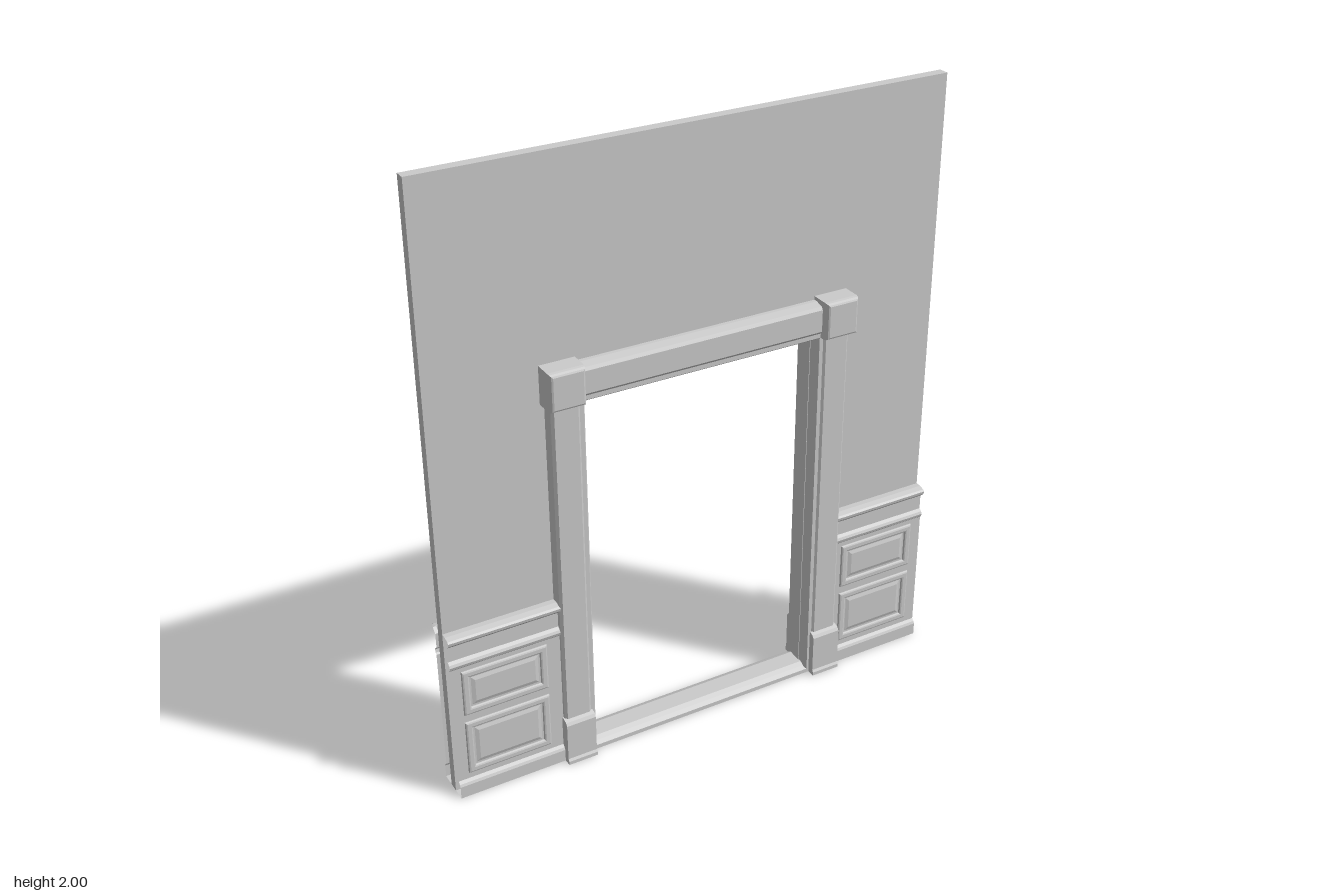
import * as THREE from 'three';

const mat = new THREE.MeshStandardMaterial({ color: 0xcccccc, flatShading: true });
const sheetMat = new THREE.MeshStandardMaterial({ color: 0xcccccc, flatShading: true, side: THREE.DoubleSide });
const CX = 0.009;      // centre of the doorway
const HALF = 0.855;    // half width of the wall
const WALL_Z = 0.017;  // half thickness of the wall

function add(parent, name, geometry, material = mat) {
  const mesh = new THREE.Mesh(geometry, material);
  mesh.name = name;
  parent.add(mesh);
  return mesh;
}

function box(parent, name, x0, x1, y0, y1, z0, z1) {
  const mesh = add(parent, name, new THREE.BoxGeometry(x1 - x0, y1 - y0, z1 - z0));
  mesh.position.set((x0 + x1) / 2, (y0 + y1) / 2, (z0 + z1) / 2);
  return mesh;
}

const shapeOf = (pts) => new THREE.Shape(pts.map(([a, b]) => new THREE.Vector2(a, b)));
const rect = (w, h) => [[-w / 2, -h / 2], [w / 2, -h / 2], [w / 2, h / 2], [-w / 2, h / 2]];

// Solid with a constant (z, y) section, running along x
function prismX(parent, name, pts, x0, x1) {
  const g = new THREE.ExtrudeGeometry(shapeOf(pts), { depth: x1 - x0, bevelEnabled: false });
  g.rotateY(-Math.PI / 2).translate(x1, 0, 0);
  return add(parent, name, g);
}

// Section mirrored to both faces
const bothFaces = (pts) => [...pts, ...pts.slice().reverse().map(([z, y]) => [-z, y])];

// Wainscot section: skirting, field, lower rail, frieze, chair rail
const wainscot = [
  [WALL_Z, 0], [0.06, 0], [0.06, 0.042], [0.056, 0.05], [0.048, 0.058],
  [0.048, 0.475], [0.053, 0.48], [0.056, 0.49], [0.052, 0.498], [0.042, 0.505],
  [0.042, 0.555], [0.05, 0.562], [0.058, 0.57], [0.06, 0.58], [0.054, 0.585],
  [0.036, 0.59], [WALL_Z, 0.59],
];

// Moulded skin over the wall, left open at the -x end
function wainscotSkin(parent, x0, x1) {
  const n = wainscot.length;
  const g = new THREE.PlaneGeometry(1, 1, 1, n - 1);
  for (let i = 0; i < n; i++) {
    const [z, y] = wainscot[n - 1 - i];
    g.attributes.position.setXYZ(i * 2, x0, y, z);
    g.attributes.position.setXYZ(i * 2 + 1, x1, y, z);
  }
  const flat = g.toNonIndexed();
  flat.computeVertexNormals();
  add(parent, 'wainscotSkin', flat, sheetMat);
  const cap = new THREE.ShapeGeometry(shapeOf(wainscot));
  cap.rotateY(-Math.PI / 2).translate(x1, 0, 0);
  add(parent, 'wainscotEnd', cap, sheetMat);
}

// Picture-frame moulding with a flat field inside
function panel(parent, x, y0, y1) {
  const w = 0.28, h = y1 - y0, t = 0.024, b = 0.006;
  const ring = shapeOf(rect(w - 2 * b, h - 2 * b));
  ring.holes.push(new THREE.Path(rect(w - 2 * t + 2 * b, h - 2 * t + 2 * b).reverse()
    .map(([a, c]) => new THREE.Vector2(a, c))));
  const g = new THREE.ExtrudeGeometry(ring, {
    depth: 0.004, bevelThickness: 0.006, bevelSize: b, bevelSegments: 2,
  });
  add(parent, 'panelMoulding', g).position.set(x, (y0 + y1) / 2, 0.046);
  const field = new THREE.ExtrudeGeometry(shapeOf(rect(w - 0.084, h - 0.084)), {
    depth: 0.001, bevelThickness: 0.004, bevelSize: 0.012, bevelSegments: 1,
  });
  add(parent, 'panelField', field).position.set(x, (y0 + y1) / 2, 0.047);
}

export function createModel() {
  const model = new THREE.Group();
  model.name = 'doorwayWall';

  // Wall with the doorway notched out
  const wall = shapeOf([
    [-HALF, 0], [CX - 0.41, 0], [CX - 0.41, 1.27], [CX + 0.41, 1.27],
    [CX + 0.41, 0], [HALF, 0], [HALF, 2], [-HALF, 2],
  ]);
  const wallGeo = new THREE.ExtrudeGeometry(wall, { depth: 2 * WALL_Z, bevelEnabled: false });
  add(model, 'wall', wallGeo.translate(0, 0, -WALL_Z));

  // Wainscot on both faces and both sides of the doorway
  for (const s of [1, -1]) {
    const face = new THREE.Group();
    face.name = s > 0 ? 'frontWainscot' : 'backWainscot';
    wainscotSkin(face, -HALF, CX - 0.49);
    wainscotSkin(face, CX + 0.49, HALF);
    for (const x of [-0.68, 0.675]) {
      panel(face, x, 0.08, 0.272);
      panel(face, x, 0.3, 0.46);
    }
    face.scale.z = s;
    model.add(face);
  }

  // Door frame
  const frame = new THREE.Group();
  frame.name = 'doorFrame';
  frame.position.x = CX;
  model.add(frame);

  for (const s of [1, -1]) {
    const side = new THREE.Group();
    side.name = s > 0 ? 'leftJamb' : 'rightJamb';
    frame.add(side);

    // Pilaster: (x, z) section with stepped edges, standing upright
    const section = bothFaces([
      [0.048, 0.504], [0.056, 0.504], [0.064, 0.496], [0.064, 0.42],
      [0.058, 0.413], [0.058, 0.4], [0.05, 0.394],
    ]).map(([z, x]) => [s * x, -z]);
    const g = new THREE.ExtrudeGeometry(shapeOf(section), { depth: 1.27, bevelEnabled: false });
    add(side, 'pilaster', g.rotateX(-Math.PI / 2));

    // Plinth block with sloped top
    const plinth = prismX(side, 'plinthBlock', bothFaces([
      [0.086, 0], [0.086, 0.012], [0.081, 0.02], [0.081, 0.148], [0.075, 0.158], [0.06, 0.164],
    ]), -0.05, 0.05);
    plinth.position.x = s * 0.458;

    // Corner block with chamfered faces
    const c = 0.01;
    const block = new THREE.ExtrudeGeometry(shapeOf(rect(0.114 - 2 * c, 0.122 - 2 * c)), {
      depth: 0.148, bevelThickness: 0.018, bevelSize: c, bevelSegments: 3,
    });
    add(side, 'cornerBlock', block.translate(0, 0, -0.074)).position.set(s * 0.46, 1.319, 0);
  }

  // Lintel
  prismX(frame, 'lintel', bothFaces([
    [0.05, 1.252], [0.058, 1.258], [0.058, 1.272], [0.064, 1.28],
    [0.064, 1.352], [0.058, 1.362], [0.03, 1.368],
  ]), -0.42, 0.42);

  // Threshold
  prismX(frame, 'threshold', bothFaces([
    [0.058, 0], [0.058, 0.014], [0.045, 0.022], [0.03, 0.03],
  ]), -0.41, 0.41);

  // Door stop lining the opening
  for (const s of [1, -1]) {
    box(frame, 'sideStop', s * 0.396 - 0.004, s * 0.396 + 0.004, 0.02, 1.256, -0.018, 0.018);
  }
  box(frame, 'topStop', -0.395, 0.395, 1.247, 1.256, -0.018, 0.018);

  return model;
}
